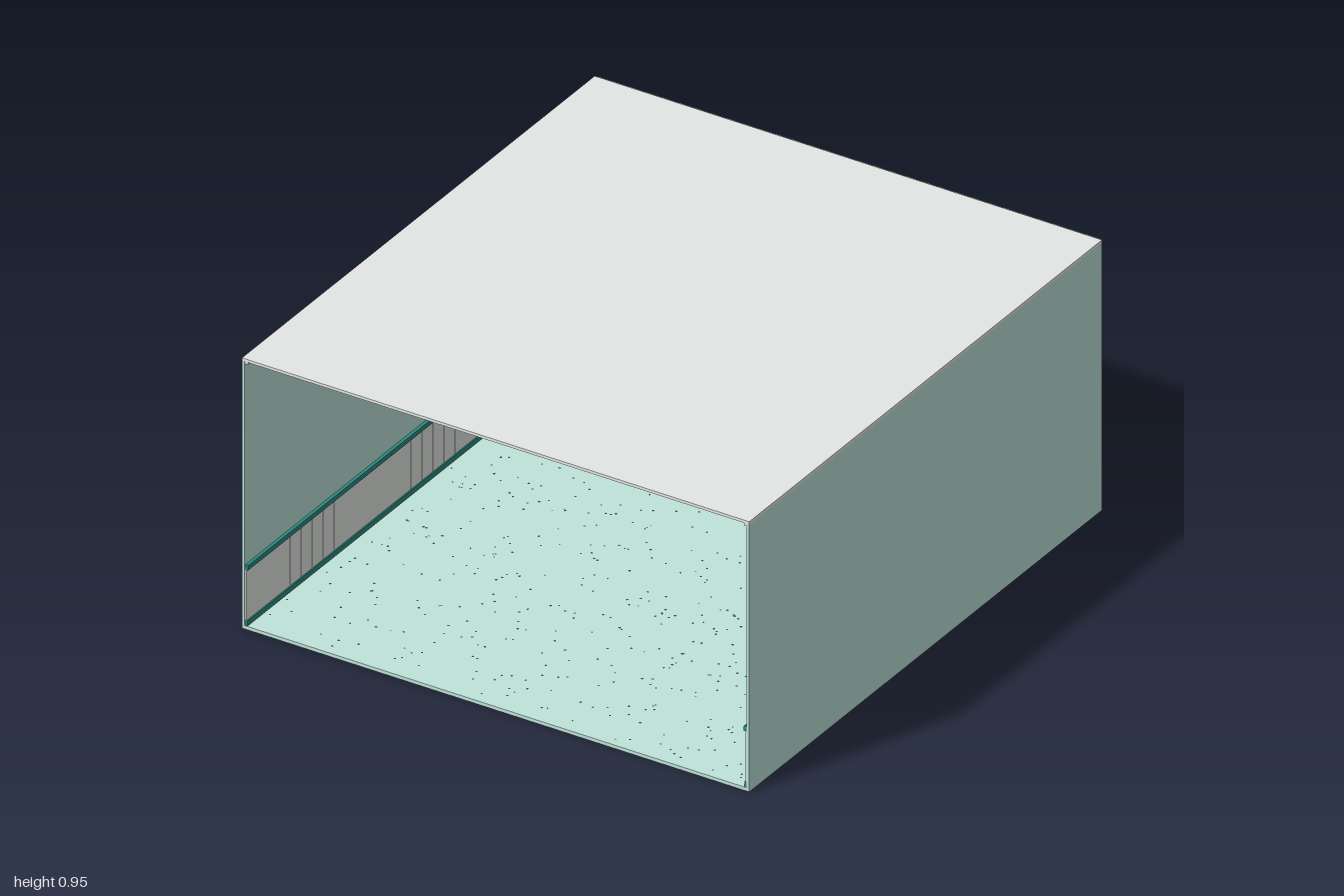
import * as THREE from 'three';
import { mergeGeometries } from 'three/addons/utils/BufferGeometryUtils.js';
import { RoundedBoxGeometry } from 'three/addons/geometries/RoundedBoxGeometry.js';

const mat = (name, color, side = THREE.FrontSide) => {
  const m = new THREE.MeshStandardMaterial({ color, side });
  m.name = name;
  return m;
};

export function createModel() {
  const mint = mat('mint', 0xbfe3da);
  const white = mat('offWhite', 0xe6e9e7);
  const teal = mat('teal', 0x2f8a80);
  const leafGreen = mat('leafGreen', 0x24756c, THREE.DoubleSide);
  const dark = mat('darkGrey', 0x37494a);
  const metal = mat('metal', 0xa9b1b0);

  const model = new THREE.Group();
  model.name = 'clinicRoom';
  const group = (name, x = 0, y = 0, z = 0) => {
    const g = new THREE.Group();
    g.name = name;
    g.position.set(x, y, z);
    model.add(g);
    return g;
  };
  const add = (parent, name, geo, material, x = 0, y = 0, z = 0) => {
    const m = new THREE.Mesh(geo, material);
    m.name = name;
    m.position.set(x, y, z);
    parent.add(m);
    return m;
  };
  // box given by its extents
  const box = (parent, name, material, x0, x1, y0, y1, z0, z1) =>
    add(parent, name, new THREE.BoxGeometry(x1 - x0, y1 - y0, z1 - z0), material,
      (x0 + x1) / 2, (y0 + y1) / 2, (z0 + z1) / 2);
  const cyl = (parent, name, material, rTop, rBottom, h, x, y, z, n = 24) =>
    add(parent, name, new THREE.CylinderGeometry(rTop, rBottom, h, n), material, x, y, z);

  const WALL = -0.985; // inner face of the back wall

  // Room shell, open at the front
  const shell = group('shell');
  box(shell, 'floor', mint, -0.9, 0.9, 0, 0.012, -0.99, 1);
  box(shell, 'ceiling', white, -0.91, 0.91, 0.94, 0.95, -0.99, 1);
  box(shell, 'backWall', mint, -0.904, 0.904, 0.005, 0.945, -1, WALL);
  for (const s of [-1, 1]) {
    box(shell, 'sideWall', mint, s * 0.905 - 0.005, s * 0.905 + 0.005, 0, 0.94, -0.99, 1);
  }

  // Floor specks
  let seed = 7;
  const rnd = () => (seed = (seed * 16807) % 2147483647) / 2147483647;
  const specks = [];
  for (let i = 0; i < 650; i++) {
    const g = new THREE.CircleGeometry(0.003 + rnd() * 0.002, 5);
    g.rotateX(-Math.PI / 2);
    g.translate((rnd() - 0.5) * 1.76, 0.0128, (rnd() - 0.5) * 1.94);
    specks.push(g);
  }
  add(shell, 'floorSpecks', mergeGeometries(specks), dark);

  // Wall trim: wainscot, chair rail, baseboard and crown on three walls
  const trim = group('wallTrim');
  const N = 30, W = 1.784 / N;
  for (let i = 0; i < N; i++) {
    const x = -0.892 + i * W;
    box(trim, 'backBoard', white, x + 0.001, x + W - 0.001, 0.012, 0.215, WALL, WALL + 0.005);
  }
  const bands = [['baseboard', teal, 0.012, 0.03, 0.009], ['chairRail', teal, 0.208, 0.225, 0.011],
    ['crown', white, 0.93, 0.94, 0.01]];
  for (const [name, m, y0, y1, t] of bands) {
    box(trim, name, m, -0.9, 0.9, y0, y1, WALL, WALL + t);
    for (const s of [-1, 1]) {
      const c = s * (0.9 - t / 2);
      box(trim, name, m, c - t / 2, c + t / 2, y0, y1, WALL, 0.998);
    }
  }
  for (const s of [-1, 1]) {
    for (let i = 0; i < 32; i++) {
      const z = -0.98 + i * 0.0618;
      box(trim, 'sideBoard', white, s * 0.8975 - 0.0025, s * 0.8975 + 0.0025,
        0.012, 0.215, z + 0.0006, z + 0.0612);
    }
  }

  // Ceiling light
  const light = group('ceilingLight');
  box(light, 'lightFrame', metal, -0.14, 0.14, 0.934, 0.94, -0.4, 0.2);
  box(light, 'lightPanel', white, -0.125, 0.125, 0.932, 0.934, -0.385, 0.185);

  // Base cabinet with counter and wall cabinet
  const cab = group('cabinets');
  box(cab, 'baseCabinet', white, -0.7, -0.455, 0.025, 0.215, WALL, -0.82);
  box(cab, 'toeKick', metal, -0.695, -0.46, 0.012, 0.025, WALL, -0.83);
  box(cab, 'counter', white, -0.71, -0.445, 0.212, 0.222, WALL, -0.81);
  box(cab, 'counterTop', dark, -0.71, -0.445, 0.222, 0.227, WALL, -0.81);
  box(cab, 'wallCabinet', white, -0.706, -0.45, 0.37, 0.562, WALL, -0.89);
  for (const s of [-1, 1]) {
    const c = -0.578 + s * 0.061;
    box(cab, 'baseDoor', white, c - 0.059, c + 0.059, 0.028, 0.198, -0.82, -0.814);
    box(cab, 'wallDoor', white, c - 0.063 + s * 0.003, c + 0.0615 + s * 0.002, 0.373, 0.559, -0.89, -0.885);
    box(cab, 'handle', dark, -0.58 + s * 0.009 - 0.002, -0.58 + s * 0.009 + 0.002, 0.14, 0.172, -0.814, -0.806);
  }

  // Soap bottle on the counter
  const soap = group('soapBottle', -0.49, 0.227, -0.88);
  cyl(soap, 'bottle', white, 0.018, 0.019, 0.042, 0, 0.021, 0);
  cyl(soap, 'neck', metal, 0.006, 0.01, 0.014, 0, 0.049, 0);
  box(soap, 'pump', metal, -0.012, 0.006, 0.056, 0.062, -0.004, 0.004);

  // Framed posters with plain marks
  const frame = (name, x0, x1, y0, y1, rim, marks) => {
    const g = group(name);
    box(g, 'frame', rim, x0, x1, y0, y1, WALL, WALL + 0.01);
    box(g, 'sheet', white, x0 + 0.007, x1 - 0.007, y0 + 0.007, y1 - 0.007, WALL + 0.01, WALL + 0.012);
    for (const [x, y, w, h, m] of marks) {
      box(g, 'mark', m, x - w / 2, x + w / 2, y - h / 2, y + h / 2, WALL + 0.012, WALL + 0.014);
    }
  };
  const chart = [];
  [[1, 0.016, 0.556], [2, 0.011, 0.53], [3, 0.008, 0.508], [4, 0.005, 0.488], [5, 0.004, 0.468], [6, 0.003, 0.45]]
    .forEach(([n, s, y], r) => {
      for (let i = 0; i < n; i++) chart.push([-0.236 + (i - (n - 1) / 2) * s * 1.7, y, s, s, r < 2 ? teal : dark]);
    });
  frame('eyeChart', -0.293, -0.18, 0.422, 0.582, teal, chart);
  frame('poster', -0.145, -0.05, 0.465, 0.582, dark, [
    [-0.098, 0.55, 0.055, 0.012, teal], [-0.098, 0.528, 0.045, 0.004, dark],
    [-0.098, 0.516, 0.05, 0.004, dark], [-0.098, 0.496, 0.06, 0.02, teal]]);

  // Wall clock
  const clock = group('clock', 0.12, 0.596, WALL);
  const disc = (name, m, r, t, z) => {
    cyl(clock, name, m, r, r, t, 0, 0, z, 40).rotation.x = Math.PI / 2;
  };
  disc('clockBody', dark, 0.04, 0.014, 0.007);
  disc('clockFace', white, 0.036, 0.003, 0.0145);
  add(clock, 'clockRim', new THREE.TorusGeometry(0.04, 0.004, 8, 40), dark, 0, 0, 0.014);
  for (let i = 0; i < 12; i++) {
    const a = i * Math.PI / 6;
    add(clock, 'tick', new THREE.BoxGeometry(0.002, 0.006, 0.002), dark,
      Math.sin(a) * 0.03, Math.cos(a) * 0.03, 0.0165).rotation.z = -a;
  }
  for (const [a, l] of [[-1.05, 0.018], [0.9, 0.026]]) {
    add(clock, 'hand', new THREE.BoxGeometry(0.003, l, 0.002), dark,
      Math.sin(a) * l / 2, Math.cos(a) * l / 2, 0.0175).rotation.z = -a;
  }

  // Window with blind and sill plant
  const win = group('window');
  box(win, 'pane', white, 0.305, 0.592, 0.375, 0.595, WALL, WALL + 0.004);
  for (const [x0, x1, y0, y1] of [[0.3, 0.312, 0.372, 0.6], [0.586, 0.598, 0.372, 0.6], [0.312, 0.586, 0.588, 0.6],
    [0.312, 0.586, 0.372, 0.384], [0.444, 0.454, 0.384, 0.588]]) {
    box(win, 'windowFrame', white, x0, x1, y0, y1, WALL, WALL + 0.014);
  }
  box(win, 'sill', white, 0.29, 0.606, 0.362, 0.372, WALL, WALL + 0.04);
  box(win, 'blindHead', white, 0.312, 0.586, 0.582, 0.598, WALL + 0.014, WALL + 0.03);
  for (let i = 0; i < 5; i++) {
    add(win, 'slat', new THREE.BoxGeometry(0.27, 0.003, 0.018), metal,
      0.449, 0.57 - i * 0.017, WALL + 0.023).rotation.x = 0.5;
  }
  cyl(win, 'blindWand', dark, 0.002, 0.002, 0.1, 0.567, 0.5, WALL + 0.034, 8);

  // Arching blade leaf: rises by h, reaches outward by r
  const leaf = (h, r, w) => {
    const pos = [], idx = [], n = 6;
    for (let i = 0; i <= n; i++) {
      const t = i / n, half = w * (0.6 + t) * (1 - t) * 1.5;
      const y = h * Math.sin(t * 1.75), x = r * t;
      pos.push(x, y + half * 0.3, -half, x, y, 0, x, y + half * 0.3, half);
      if (i < n) {
        for (const k of [0, 1]) {
          const a = i * 3 + k;
          idx.push(a, a + 1, a + 3, a + 1, a + 4, a + 3);
        }
      }
    }
    const g = new THREE.BufferGeometry();
    g.setAttribute('position', new THREE.Float32BufferAttribute(pos, 3));
    g.setIndex(idx);
    g.computeVertexNormals();
    return g;
  };
  const leaves = (parent, rings, y) => {
    for (const [n, h, r, w, off] of rings) {
      for (let i = 0; i < n; i++) {
        add(parent, 'leaf', leaf(h, r, w), leafGreen, 0, y, 0).rotation.y = off + i * 2 * Math.PI / n;
      }
    }
  };

  const sprout = group('sillPlant', 0.357, 0.372, WALL + 0.022);
  cyl(sprout, 'smallPot', dark, 0.013, 0.01, 0.018, 0, 0.009, 0, 16);
  leaves(sprout, [[7, 0.016, 0.02, 0.004, 0]], 0.018);

  // Potted plant
  const plant = group('pottedPlant', 0.68, 0.012, -0.84);
  const pot = [[0, 0], [0.048, 0], [0.06, 0.098], [0.064, 0.098], [0.066, 0.122], [0.056, 0.122], [0.054, 0.11], [0, 0.11]]
    .map(([x, y]) => new THREE.Vector2(x, y));
  add(plant, 'pot', new THREE.LatheGeometry(pot, 32), white).material.flatShading = false;
  cyl(plant, 'potBand', teal, 0.0625, 0.0605, 0.014, 0, 0.099, 0, 32);
  cyl(plant, 'soil', dark, 0.054, 0.054, 0.004, 0, 0.112, 0);
  leaves(plant, [[9, 0.085, 0.11, 0.011, 0], [8, 0.11, 0.075, 0.011, 0.3], [6, 0.13, 0.03, 0.01, 0.1]], 0.112);

  // Swivel chair
  const chair = group('chair', 0, 0.012, -0.7);
  cyl(chair, 'base', dark, 0.07, 0.073, 0.012, 0, 0.006, 0, 40);
  cyl(chair, 'baseCollar', metal, 0.012, 0.025, 0.014, 0, 0.019, 0);
  cyl(chair, 'post', metal, 0.009, 0.009, 0.145, 0, 0.095, 0);
  add(chair, 'seat', new RoundedBoxGeometry(0.162, 0.03, 0.16, 3, 0.01), teal, -0.002, 0.183, 0);
  add(chair, 'backrest', new RoundedBoxGeometry(0.162, 0.165, 0.03, 3, 0.01), teal, -0.002, 0.265, -0.07);

  return model;
}
